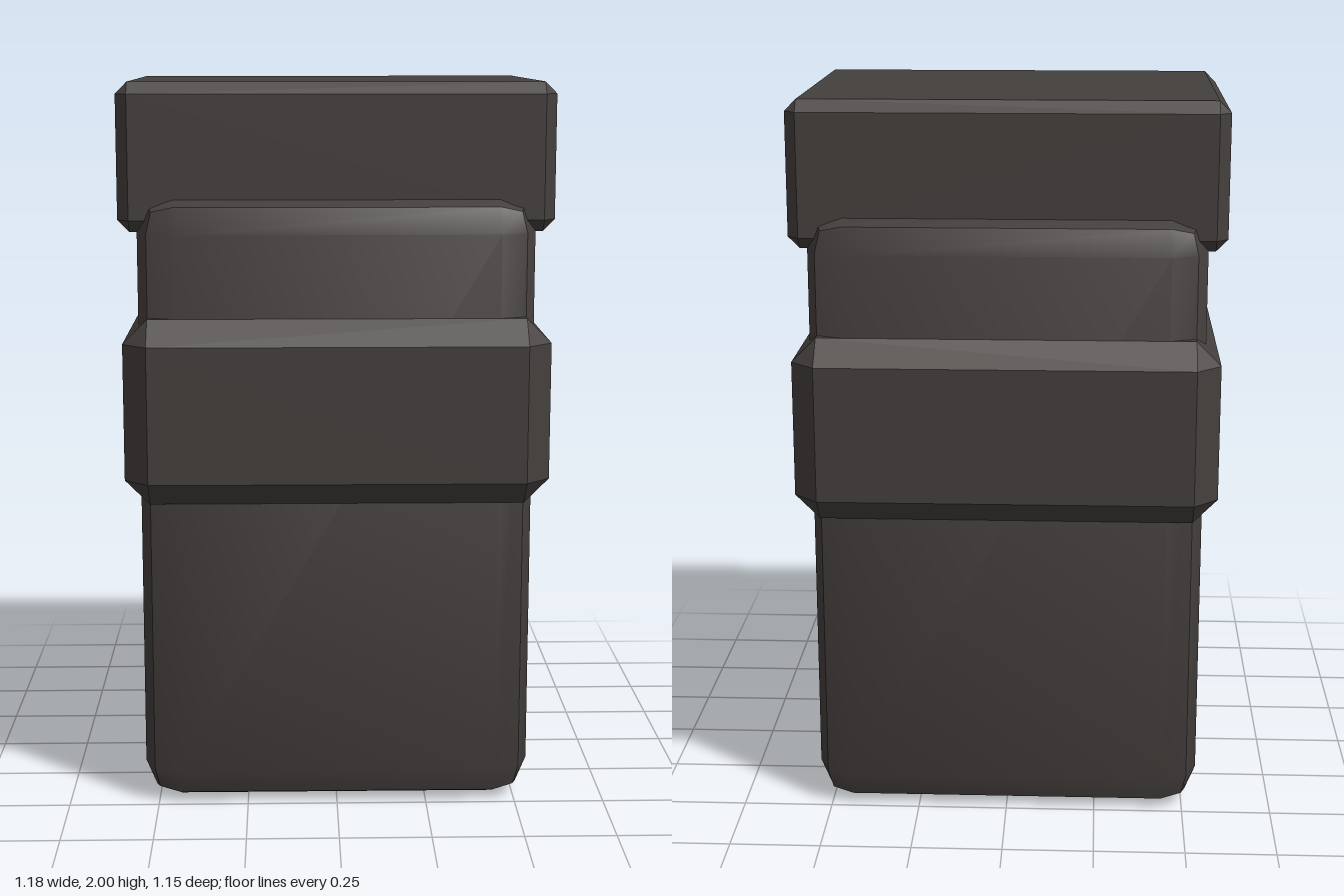
import * as THREE from 'three';
import { toCreasedNormals } from 'three/addons/utils/BufferGeometryUtils.js';
import { RoundedBoxGeometry } from 'three/addons/geometries/RoundedBoxGeometry.js';
import { ConvexGeometry } from 'three/addons/geometries/ConvexGeometry.js';

const charcoal = new THREE.MeshStandardMaterial({ name: 'charcoal', color: 0x443f3d });

// Box with every edge cut by a single flat chamfer
function chamferedBox(width, height, depth, c) {
  const half = [width / 2, height / 2, depth / 2];
  const points = [];
  for (const sx of [-1, 1]) for (const sy of [-1, 1]) for (const sz of [-1, 1]) {
    for (let axis = 0; axis < 3; axis++) {
      // One point of each corner triangle lies on each face
      const [x, y, z] = half.map((h, i) => (i === axis ? h : h - c));
      points.push(new THREE.Vector3(sx * x, sy * y, sz * z));
    }
  }
  return new ConvexGeometry(points);
}

// Box with two-step rounded edges, creased along the middle of each edge
function softBox(width, height, depth, radius) {
  const geometry = new RoundedBoxGeometry(width, height, depth, 1, radius);
  return toCreasedNormals(geometry, 0.6);
}

export function createModel() {
  const model = new THREE.Group();
  model.name = 'blockyLimb';

  const add = (name, geometry, y) => {
    const mesh = new THREE.Mesh(geometry, charcoal);
    mesh.name = name;
    mesh.position.y = y;
    model.add(mesh);
  };

  add('body', softBox(1.08, 1.7, 1.02, 0.1), 0.85);
  add('collar', chamferedBox(1.154, 0.507, 1.154, 0.067), 1.1215);
  add('cap', chamferedBox(1.184, 0.4, 0.88, 0.032), 1.8);

  return model;
}
